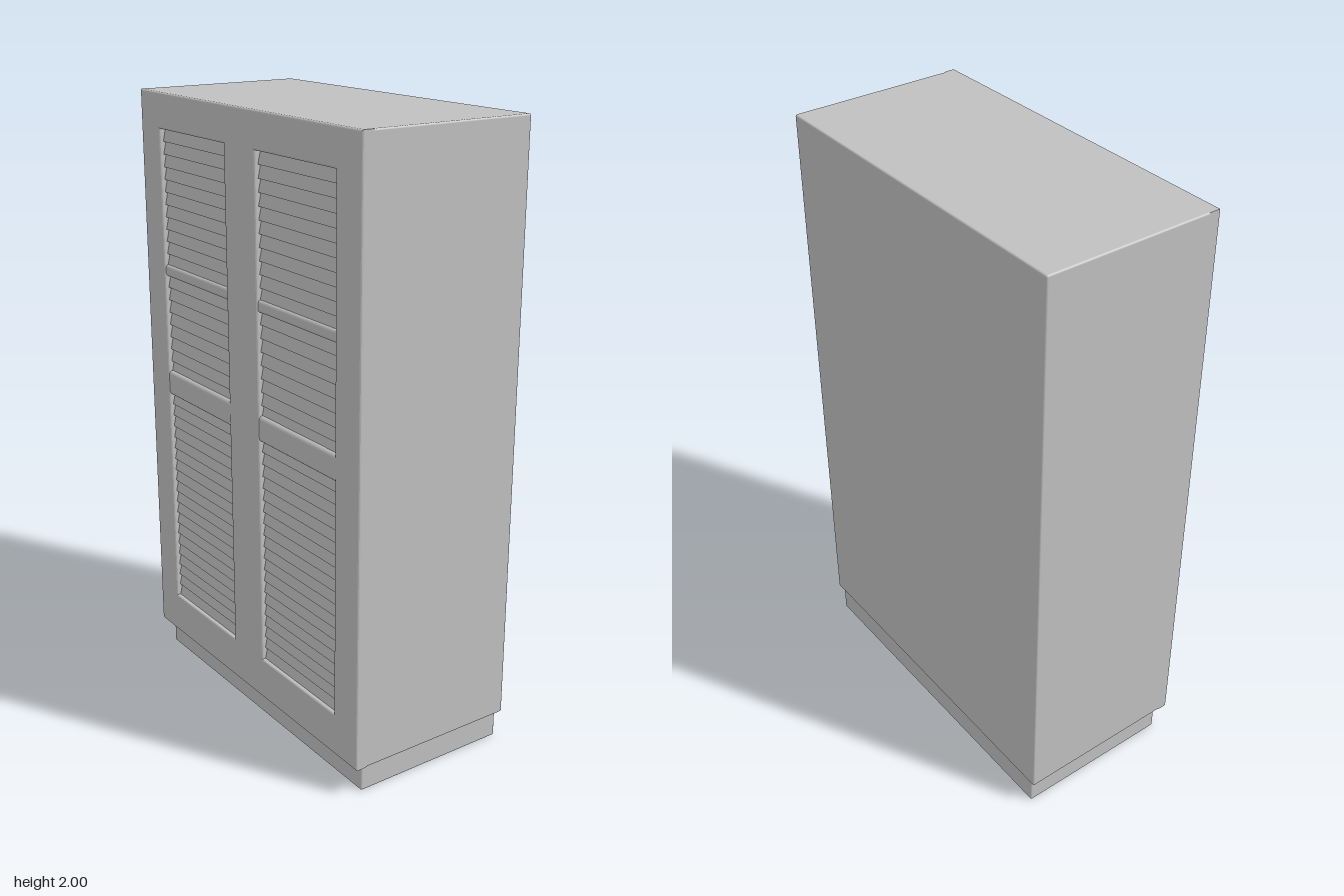
import * as THREE from 'three';
import { RoundedBoxGeometry } from 'three/addons/geometries/RoundedBoxGeometry.js';

const grey = new THREE.MeshStandardMaterial({ color: 0xc0c0c0 });
grey.name = 'plain grey';

export function createModel() {
  const group = new THREE.Group();
  group.name = 'louvredCupboard';

  const add = (name, geometry) => {
    const mesh = new THREE.Mesh(geometry, grey);
    mesh.name = name;
    group.add(mesh);
  };

  // Box given by its limits, with softened edges
  const block = (name, x0, x1, y0, y1, z0, z1, r) => {
    const g = new RoundedBoxGeometry(x1 - x0, y1 - y0, z1 - z0, 3, r);
    g.translate((x0 + x1) / 2, (y0 + y1) / 2, (z0 + z1) / 2);
    add(name, g);
  };

  // Rectangle traced into a shape or a hole path
  const rect = (path, x0, x1, y0, y1) => {
    path.moveTo(x0, y0);
    path.lineTo(x1, y0);
    path.lineTo(x1, y1);
    path.lineTo(x0, y1);
    path.closePath();
    return path;
  };

  // Carcass and set-back plinth
  block('carcass', -0.597, 0.597, 0.1, 2, -0.292, 0.264, 0.006);
  block('plinth', -0.577, 0.574, 0.004, 0.13, -0.284, 0.255, 0.006);

  // Front frame with two tall door openings
  const bottom = 0.24, top = 1.885, bevel = 0.007;
  const doors = [[-0.48, -0.09], [0.08, 0.48]];
  const outline = rect(new THREE.Shape(), -0.597, 0.597, 0.1, 2);
  for (const [x0, x1] of doors) outline.holes.push(rect(new THREE.Path(), x0, x1, bottom, top));
  const frame = new THREE.ExtrudeGeometry(outline, {
    depth: 0.042 - 2 * bevel, bevelThickness: bevel, bevelSize: bevel,
    bevelOffset: -bevel, bevelSegments: 3,
  });
  frame.translate(0, 0, 0.25 + bevel);
  add('frontFrame', frame);

  // Sawtooth bank of slats: each leans out towards its lower edge
  const louvres = (name, x0, x1, y0, y1) => {
    const count = Math.round((y1 - y0) / 0.04);
    const pitch = (y1 - y0) / count;
    const profile = new THREE.Shape();
    profile.moveTo(0.25, y0);
    for (let i = 0; i < count; i++) {
      profile.lineTo(0.279, y0 + i * pitch);
      profile.lineTo(0.27, y0 + (i + 0.96) * pitch);
    }
    profile.lineTo(0.25, y1);
    profile.closePath();
    const g = new THREE.ExtrudeGeometry(profile, { depth: x1 - x0, bevelEnabled: false });
    g.rotateY(-Math.PI / 2);
    g.translate(x1, 0, 0);
    add(name, g);
  };

  // Three louvre banks per door, parted by a wide and a narrow rail
  doors.forEach(([x0, x1], i) => {
    const side = i ? 'left' : 'right';
    louvres(side + 'LowerLouvres', x0, x1, bottom, 1.0);
    louvres(side + 'MiddleLouvres', x0, x1, 1.07, 1.41);
    louvres(side + 'UpperLouvres', x0, x1, 1.44, top);
    block(side + 'MiddleRail', x0 - 0.01, x1 + 0.01, 0.995, 1.08, 0.25, 0.29, 0.014);
    block(side + 'UpperRail', x0 - 0.01, x1 + 0.01, 1.405, 1.445, 0.25, 0.287, 0.012);
  });

  return group;
}
